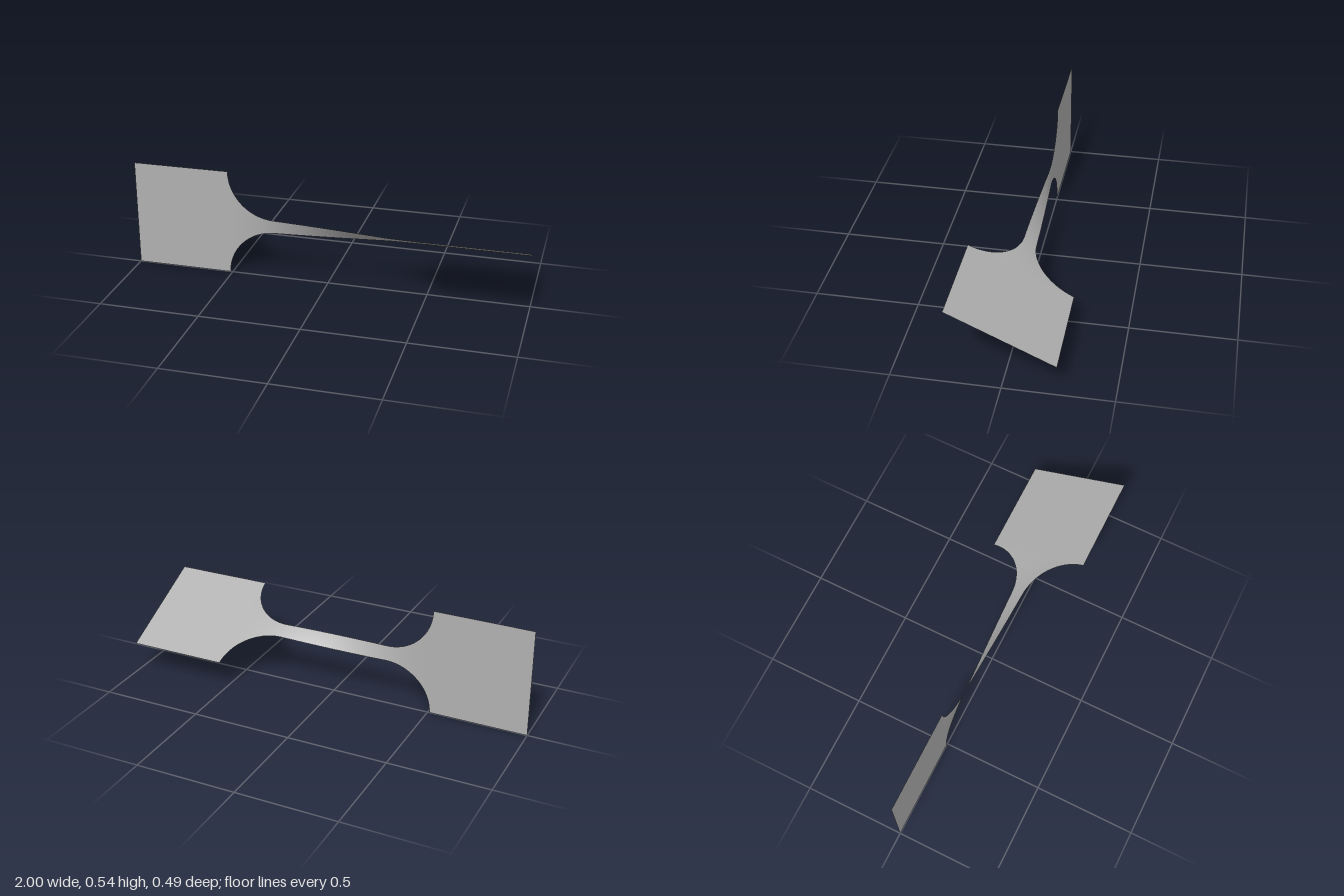
import * as THREE from 'three';

const HALF_GRIP = 0.271;   // half width of the end tabs
const HALF_NECK = 0.037;   // half width of the narrow gauge
const SHOULDER = 0.51;     // x where the tabs begin
const FILLET = HALF_GRIP - HALF_NECK;
const GAUGE = SHOULDER - FILLET;
const TWIST = THREE.MathUtils.degToRad(64.5);

// Half width of the strip at x: straight gauge, then quarter-circle fillets
function halfWidth(x) {
  const d = Math.min(Math.max(Math.abs(x) - GAUGE, 0), FILLET);
  return HALF_NECK + FILLET - Math.sqrt(FILLET * FILLET - d * d);
}

// Stations along the neck, spaced by arc angle in the fillets
function neckStations() {
  const xs = [];
  const arc = 24, mid = 40;
  for (let i = 0; i < arc; i++) xs.push(-GAUGE - FILLET * Math.cos((i / arc) * Math.PI / 2));
  for (let i = 0; i <= mid; i++) xs.push(-GAUGE + (2 * GAUGE * i) / mid);
  for (let i = 1; i <= arc; i++) xs.push(GAUGE + FILLET * Math.sin((i / arc) * Math.PI / 2));
  return xs;
}

// Twist builds up faster where the strip is narrower
function twistAngles(xs) {
  const sums = [0];
  for (let i = 1; i < xs.length; i++) {
    const middle = (xs[i] + xs[i - 1]) / 2;
    sums.push(sums[i - 1] + (xs[i] - xs[i - 1]) / halfWidth(middle));
  }
  const total = sums[sums.length - 1];
  return sums.map((s) => (TWIST * s) / total);
}

// Flat sheet whose columns are moved to each station, scaled and turned about x
function sheet(xs, angles, rows) {
  const geometry = new THREE.PlaneGeometry(1, 2, xs.length - 1, rows);
  const pos = geometry.attributes.position;
  for (let i = 0; i < pos.count; i++) {
    const column = i % xs.length;
    const r = pos.getY(i) * halfWidth(xs[column]);
    const a = angles[column];
    pos.setXYZ(i, xs[column], r * Math.cos(a), r * Math.sin(a));
  }
  geometry.computeVertexNormals();
  return geometry;
}

export function createModel() {
  const model = new THREE.Group();
  model.name = 'twistedTestStrip';
  const metal = new THREE.MeshStandardMaterial({ color: 0xb0b0b0, side: THREE.DoubleSide });
  metal.name = 'plain grey metal';

  const add = (name, geometry) => {
    const mesh = new THREE.Mesh(geometry, metal);
    mesh.name = name;
    mesh.position.y = HALF_GRIP;
    model.add(mesh);
  };

  // Narrow twisted neck with its fillets
  const xs = neckStations();
  add('twistedNeck', sheet(xs, twistAngles(xs), 12));

  // Flat end tabs, one upright and one turned
  add('uprightTab', sheet([-1, -SHOULDER], [0, 0], 1));
  add('turnedTab', sheet([SHOULDER, 1], [TWIST, TWIST], 1));

  return model;
}
